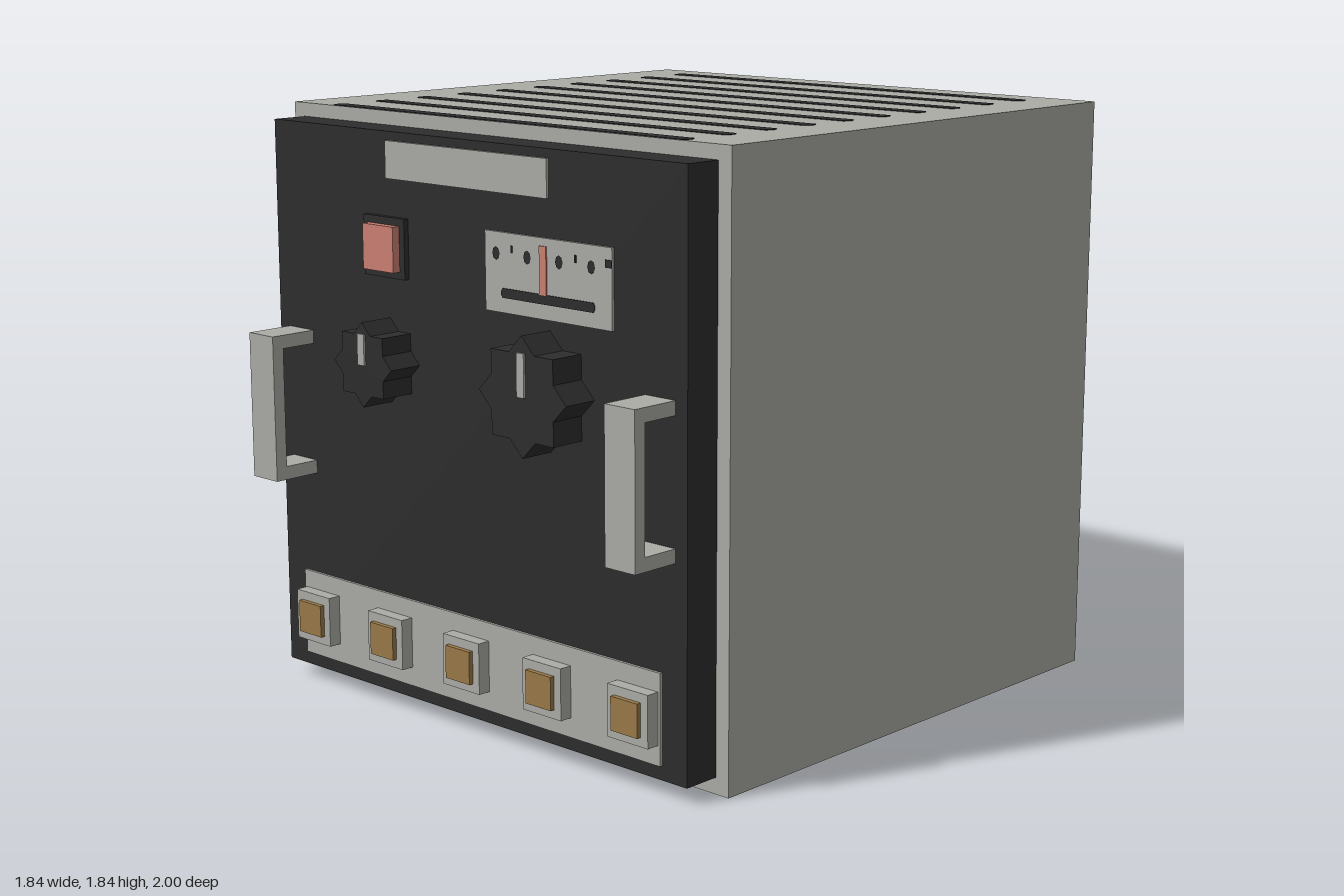
import * as THREE from 'three';

const mat = (name, color) => Object.assign(new THREE.MeshStandardMaterial({ color }), { name });

export function createModel() {
  const grey = mat('casing grey', 0xabaca6);
  const black = mat('panel black', 0x2d2d2d);
  const red = mat('lamp red', 0xcc8072);
  const amber = mat('button amber', 0x9a7a48);
  const root = new THREE.Group();
  root.name = 'controlUnit';

  const add = (name, geometry, material, parent = root) => {
    const mesh = new THREE.Mesh(geometry, material);
    mesh.name = name;
    parent.add(mesh);
    return mesh;
  };
  // Box given by its limits on each axis
  const box = (name, material, x0, x1, y0, y1, z0, z1, parent) => {
    const mesh = add(name, new THREE.BoxGeometry(x1 - x0, y1 - y0, z1 - z0), material, parent);
    mesh.position.set((x0 + x1) / 2, (y0 + y1) / 2, (z0 + z1) / 2);
    return mesh;
  };
  // Thin plate with chamfered ends, lying in the xy plane
  const slotPlate = (length, width) => {
    const l = length / 2, w = width / 2, c = w * 0.4;
    const points = [[-l, -c], [-l + c, -w], [l - c, -w], [l, -c], [l, c], [l - c, w], [-l + c, w], [-l, c]];
    const shape = new THREE.Shape(points.map(([x, y]) => new THREE.Vector2(x, y)));
    return new THREE.ExtrudeGeometry(shape, { depth: 0.003, bevelEnabled: false });
  };

  // Casing and front panel
  box('casing', grey, -0.92, 0.92, 0, 1.84, -1, 0.72);
  box('frontPanel', black, -0.872, 0.872, 0.05, 1.797, 0.72, 0.84);
  box('namePlate', grey, -0.343, 0.343, 1.657, 1.77, 0.84, 0.849);

  // Ventilation slots on the top
  for (let i = 0; i < 10; i++) {
    const slot = add('ventSlot', slotPlate(1.49, 0.05), black);
    slot.rotation.x = -Math.PI / 2;
    slot.position.set(0, 1.839, -0.864 + i * 0.1728);
  }

  // Side handles
  for (const s of [-1, 1]) {
    const handle = new THREE.Group();
    handle.name = s > 0 ? 'leftHandle' : 'rightHandle';
    root.add(handle);
    const a = s * 0.77 - 0.057, b = s * 0.77 + 0.057;
    box('grip', grey, a, b, 0.692, 1.15, 0.96, 1, handle);
    box('lowerArm', grey, a, b, 0.692, 0.734, 0.84, 0.96, handle);
    box('upperArm', grey, a, b, 1.108, 1.15, 0.84, 0.96, handle);
  }

  // Eight-pointed knobs with pointers
  const knob = (name, x, radius, pointerLength) => {
    const points = [];
    for (let i = 0; i < 16; i++) {
      const r = i % 2 ? radius * 0.765 : radius, t = i * Math.PI / 8;
      points.push(new THREE.Vector2(r * Math.cos(t), r * Math.sin(t)));
    }
    const group = new THREE.Group();
    group.name = name;
    group.position.set(x, 1.105, 0.84);
    root.add(group);
    add('knobBody', new THREE.ExtrudeGeometry(new THREE.Shape(points), { depth: 0.112, bevelEnabled: false }), black, group);
    box('pointer', grey, -0.015, 0.015, 0, pointerLength, 0.112, 0.119, group);
  };
  knob('smallKnob', -0.346, 0.13, 0.095);
  knob('largeKnob', 0.342, 0.177, 0.128);

  // Square indicator lamp
  box('lampBezel', black, -0.437, -0.255, 1.36, 1.543, 0.84, 0.857);
  box('lamp', red, -0.413, -0.277, 1.382, 1.52, 0.857, 0.883);

  // Meter with needle, marks and lower slot
  box('meterPlate', grey, 0.088, 0.597, 1.312, 1.545, 0.84, 0.849);
  box('meterNeedle', red, 0.314, 0.342, 1.382, 1.522, 0.849, 0.853);
  const meterSlot = add('meterSlot', slotPlate(0.375, 0.028), black);
  meterSlot.position.set(0.344, 1.37, 0.849);
  for (const x of [0.137, 0.265, 0.393, 0.52]) {
    const mark = add('meterMark', new THREE.CircleGeometry(0.02, 8), black);
    mark.scale.x = 0.75;
    mark.position.set(x, 1.483, 0.852);
  }
  for (const x of [0.2, 0.457]) box('meterTick', black, x - 0.003, x + 0.003, 1.489, 1.51, 0.849, 0.852);
  box('meterEndMark', black, 0.574, 0.598, 1.488, 1.51, 0.849, 0.852);

  // Row of push buttons
  box('buttonStrip', grey, -0.778, 0.778, 0.093, 0.367, 0.84, 0.849);
  for (let i = -2; i <= 2; i++) {
    const x = i * 0.345;
    box('buttonBase', grey, x - 0.079, x + 0.079, 0.153, 0.311, 0.849, 0.89);
    box('buttonCap', amber, x - 0.052, x + 0.052, 0.181, 0.283, 0.89, 0.905);
  }
  return root;
}
